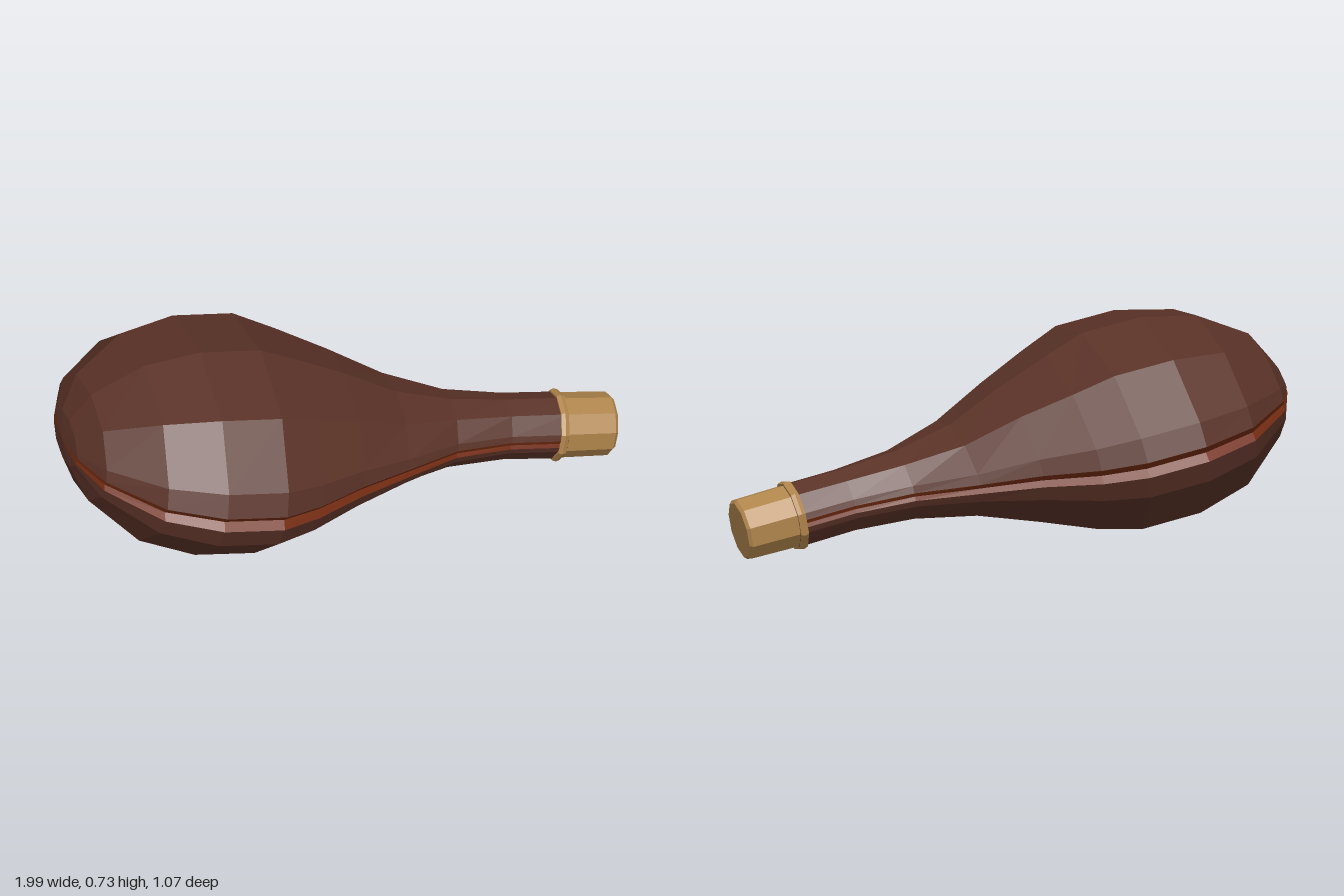
import * as THREE from 'three';

const TILT = 0.175; // the flask leans down toward its mouth

// Cross-sections from base to mouth: centre x, centre y, half height, half width
const STATIONS = [
  [-0.985, 0.47, 0.075, 0.14],
  [-0.925, 0.46, 0.183, 0.29],
  [-0.755, 0.425, 0.305, 0.463],
  [-0.56, 0.392, 0.353, 0.535],
  [-0.345, 0.355, 0.354, 0.535],
  [-0.2, 0.325, 0.31, 0.468],
  [-0.02, 0.298, 0.242, 0.364],
  [0.175, 0.26, 0.162, 0.262],
  [0.38, 0.222, 0.124, 0.157],
  [0.585, 0.187, 0.113, 0.12],
  [0.79, 0.148, 0.116, 0.116],
];

// Ten-sided ring with a V groove along each side, starting at the top toward +z
function makeRing([cx, cy, ry, rz]) {
  const lip = 0.007 + 0.058 * ry;
  const corner = (deg) => {
    const a = THREE.MathUtils.degToRad(deg);
    return [Math.cos(a) * ry, Math.sin(a) * rz * 0.99];
  };
  const side = [corner(36), corner(72), [lip, rz], [0, rz * 0.955], [-lip, rz], corner(108), corner(144)];
  const mirrored = side.map(([y, z]) => [y, -z]).reverse();
  return [[ry, 0], ...side, [-ry, 0], ...mirrored].map(
    ([y, z]) => new THREE.Vector3(cx + y * Math.sin(TILT), cy + y * Math.cos(TILT), z));
}

// Loft the strips of the rings chosen by the filter
function loft(rings, keep, capped) {
  const pos = [];
  const tri = (...pts) => pts.forEach((p) => pos.push(p.x, p.y, p.z));
  const n = rings[0].length;
  for (let j = 0; j < n; j++) {
    if (!keep(j)) continue;
    const k = (j + 1) % n;
    for (let i = 0; i < rings.length - 1; i++) {
      const a = rings[i][j], b = rings[i][k], c = rings[i + 1][j], d = rings[i + 1][k];
      tri(a, b, c);
      tri(b, d, c);
    }
    if (capped) tri(new THREE.Vector3(-0.998, 0.472, 0), rings[0][k], rings[0][j]);
  }
  const geo = new THREE.BufferGeometry();
  geo.setAttribute('position', new THREE.Float32BufferAttribute(pos, 3));
  geo.computeVertexNormals();
  return geo;
}

export function createModel() {
  const model = new THREE.Group();
  model.name = 'waterskin';
  const material = (name, color) => {
    const m = new THREE.MeshStandardMaterial({ color, flatShading: true });
    m.name = name;
    return m;
  };
  const leather = material('brown leather', 0x5a3227);
  const stitch = material('rust seam', 0x742c12);
  const wood = material('tan cork', 0xb0854c);

  const add = (name, geo, mat, parent = model) => {
    const mesh = new THREE.Mesh(geo, mat);
    mesh.name = name;
    parent.add(mesh);
  };

  // Leather body and the grooved seams along both sides
  const rings = STATIONS.map(makeRing);
  const isSeam = (j) => [3, 4, 11, 12].includes(j);
  add('body', loft(rings, (j) => !isSeam(j), true), leather);
  add('sideSeams', loft(rings, isSeam, true), stitch);

  // Stopper with a collar, turned about the neck axis
  const stopper = new THREE.Group();
  stopper.name = 'stopper';
  stopper.position.set(0.775, 0.151, 0);
  stopper.rotation.z = -Math.PI / 2 - TILT;
  model.add(stopper);
  const turned = (profile) => new THREE.LatheGeometry(
    profile.map(([r, h]) => new THREE.Vector2(r, h)), 10, Math.PI / 2);
  add('collar', turned([[0.1, -0.014], [0.122, -0.014], [0.127, 0], [0.122, 0.014], [0.1, 0.014]]), wood, stopper);
  add('cork', turned([[0, -0.02], [0.114, -0.02], [0.11, 0.188], [0.1, 0.199], [0, 0.199]]), wood, stopper);
  return model;
}
